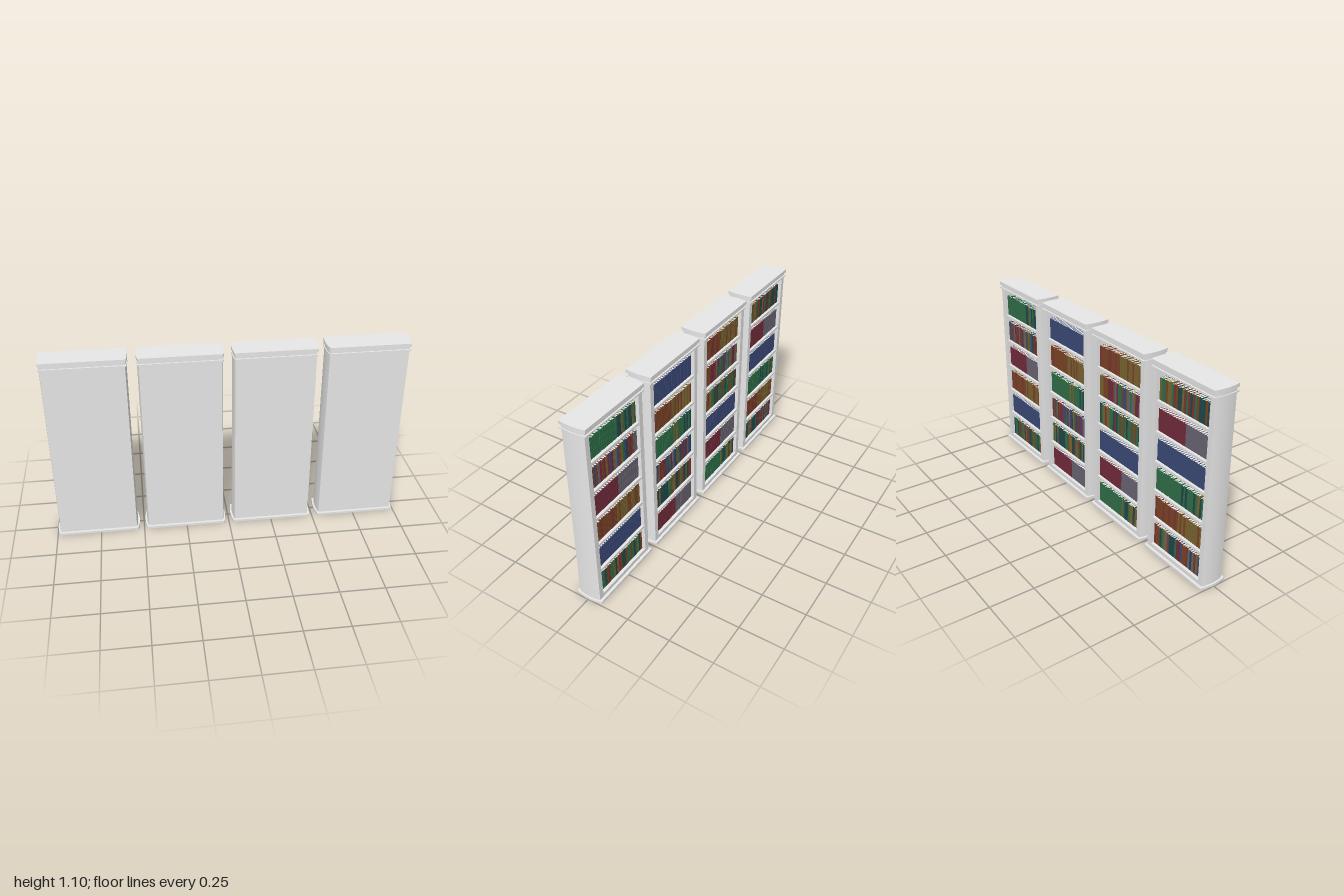
import * as THREE from 'three';
import { mergeGeometries, toCreasedNormals } from 'three/addons/utils/BufferGeometryUtils.js';

const paint = (name, color) => {
  const m = new THREE.MeshStandardMaterial({ color });
  m.name = name;
  return m;
};

const MATS = {
  casing: paint('casing white', 0xe7e7e7),
  pages: paint('page white', 0xf0efea),
  green: paint('green cover', 0x2f6e48),
  teal: paint('dark teal cover', 0x20484c),
  blue: paint('blue cover', 0x3b4a78),
  maroon: paint('maroon cover', 0x722c3c),
  grey: paint('grey cover', 0x6a6574),
  brown: paint('brown cover', 0x7c4426),
  ochre: paint('ochre cover', 0x7a6532),
  red: paint('red cover', 0x7c3432),
};

// Main proportions
const PITCH = 0.508, BAY = 0.17, FLOOR = 0.035, BAYS = 6;
const INNER = 0.19, BODY_TOP = 1.053;

function seeded(seed) {
  return () => {
    seed = (seed * 1664525 + 1013904223) % 4294967296;
    return seed / 4294967296;
  };
}

function add(group, name, geometry, material) {
  const mesh = new THREE.Mesh(geometry, material);
  mesh.name = name;
  group.add(mesh);
}

function box(w, h, d, x, y, z) {
  return new THREE.BoxGeometry(w, h, d).translate(x, y, z);
}

// Plan shape raised from y0 to y1
function raise(shape, y0, y1) {
  const g = new THREE.ExtrudeGeometry(shape, { depth: y1 - y0, bevelEnabled: false, curveSegments: 10 });
  return toCreasedNormals(g.rotateX(-Math.PI / 2).translate(0, y0, 0), 0.5);
}

// Slab with gently bowed ends; w is the half width at the corners
function slab(w, bow, d, y0, y1) {
  const s = new THREE.Shape();
  s.moveTo(-w, -d);
  s.lineTo(w, -d);
  s.quadraticCurveTo(w + 2 * bow, 0, w, d);
  s.lineTo(-w, d);
  s.quadraticCurveTo(-w - 2 * bow, 0, -w, -d);
  return raise(s, y0, y1);
}

// Upright side with a bowed outer face
function sideWall(sign) {
  const s = new THREE.Shape();
  const inner = sign * INNER, w = sign * 0.219, d = 0.065;
  s.moveTo(inner, -d);
  s.lineTo(w, -d);
  s.quadraticCurveTo(sign * 0.235, 0, w, d);
  s.lineTo(inner, d);
  return raise(s, 0.012, BODY_TOP);
}

// What fills a shelf: colour choice by position t along the row
const pick = (list, r) => list[Math.floor(r * list.length)];
const SETS = {
  green: (t, r) => (t < 0.5 ? 'green' : pick(['green', 'green', 'teal', 'teal', 'ochre'], r)),
  mixed: (t, r) => pick(['red', 'teal', 'green', 'blue', 'maroon', 'brown', 'grey', 'ochre'], r),
  maroon: (t) => (t < 0.53 ? 'maroon' : 'grey'),
  orange: (t, r) => pick(t < 0.45 ? ['brown', 'brown', 'brown', 'red'] : ['ochre', 'ochre', 'brown'], r),
  blue: () => 'blue',
  varied: (t, r) => pick(['ochre', 'teal', 'green', 'brown', 'green', 'red', 'teal'], r),
};

// Shelf order from top to bottom, bookcases from +x to -x
const LAYOUT = [
  ['green', 'mixed', 'maroon', 'orange', 'blue', 'varied'],
  ['blue', 'orange', 'green', 'mixed', 'varied', 'maroon'],
  ['orange', 'mixed', 'varied', 'blue', 'maroon', 'green'],
  ['varied', 'maroon', 'blue', 'green', 'orange', 'mixed'],
];

// One book: two boards, a spine facing -z, and a page block
function book(t, h, d, lean, x, y) {
  const z0 = -0.046, b = 0.0012, zc = z0 + d / 2;
  const cover = mergeGeometries([
    box(b, h, d, -t / 2 + b / 2, h / 2, zc),
    box(b, h, d, t / 2 - b / 2, h / 2, zc),
    box(t - 2 * b, h, b, 0, h / 2, z0 + b / 2),
  ]);
  const pages = box(t - 2 * b, h - 0.002, d - 0.004, 0, h / 2, zc);
  for (const g of [cover, pages]) g.rotateZ(lean).translate(x, y, 0);
  return { cover, pages };
}

function bookRow(kind, y, seed) {
  const row = new THREE.Group();
  row.name = 'bookRow';
  const rand = seeded(seed);
  const parts = {};
  const uniform = kind === 'blue' || kind === 'maroon';
  const count = uniform ? 22 : 25;
  const step = (2 * INNER - 0.004) / count;
  for (let i = 0; i < count; i++) {
    const tilted = kind === 'green' && i % 8 === 6;
    const h = uniform ? 0.122 : 0.117 + 0.008 * rand();
    const x = INNER - 0.002 - step * (i + 0.5);
    const name = SETS[kind](i / count, rand());
    const thick = step * (tilted ? 0.65 : 0.9);
    const { cover, pages } = book(thick, h, 0.09, tilted ? 0.05 : 0, x + (tilted ? 0.003 : 0), y);
    (parts[name] ??= []).push(cover);
    (parts.pages ??= []).push(pages);
  }
  for (const [name, list] of Object.entries(parts)) {
    add(row, name === 'pages' ? 'bookPages' : `${name}BookCovers`, mergeGeometries(list), MATS[name]);
  }
  return row;
}

function bookcase(rows, seed) {
  const g = new THREE.Group();
  g.name = 'bookcase';
  const c = MATS.casing;

  // Plinth and stepped cornice
  add(g, 'plinth', slab(0.227, 0.0105, 0.08, 0, 0.013), c);
  add(g, 'corniceLip', slab(0.224, 0.008, 0.075, BODY_TOP, 1.061), c);
  add(g, 'corniceNeck', slab(0.219, 0.008, 0.066, 1.061, 1.077), c);
  add(g, 'corniceCap', slab(0.224, 0.008, 0.075, 1.077, 1.096), c);

  // Body
  add(g, 'leftSide', sideWall(1), c);
  add(g, 'rightSide', sideWall(-1), c);
  add(g, 'backPanel', box(2 * INNER, BODY_TOP - 0.012, 0.012, 0, (BODY_TOP + 0.012) / 2, 0.059), c);
  add(g, 'floorBoard', box(2 * INNER, FLOOR - 0.012, 0.118, 0, (FLOOR + 0.012) / 2, -0.005), c);

  // Shelves and their books
  for (let i = 0; i < BAYS; i++) {
    const y = FLOOR + BAY * i;
    if (i > 0) add(g, 'shelf', box(2 * INNER, 0.014, 0.115, 0, y - 0.007, -0.004), c);
    g.add(bookRow(rows[BAYS - 1 - i], y, seed + i * 97));
  }
  return g;
}

export function createModel() {
  const model = new THREE.Group();
  model.name = 'bookcases';
  LAYOUT.forEach((rows, i) => {
    const unit = bookcase(rows, 1234 + i * 7919);
    unit.position.x = (1.5 - i) * PITCH;
    model.add(unit);
  });
  return model;
}
